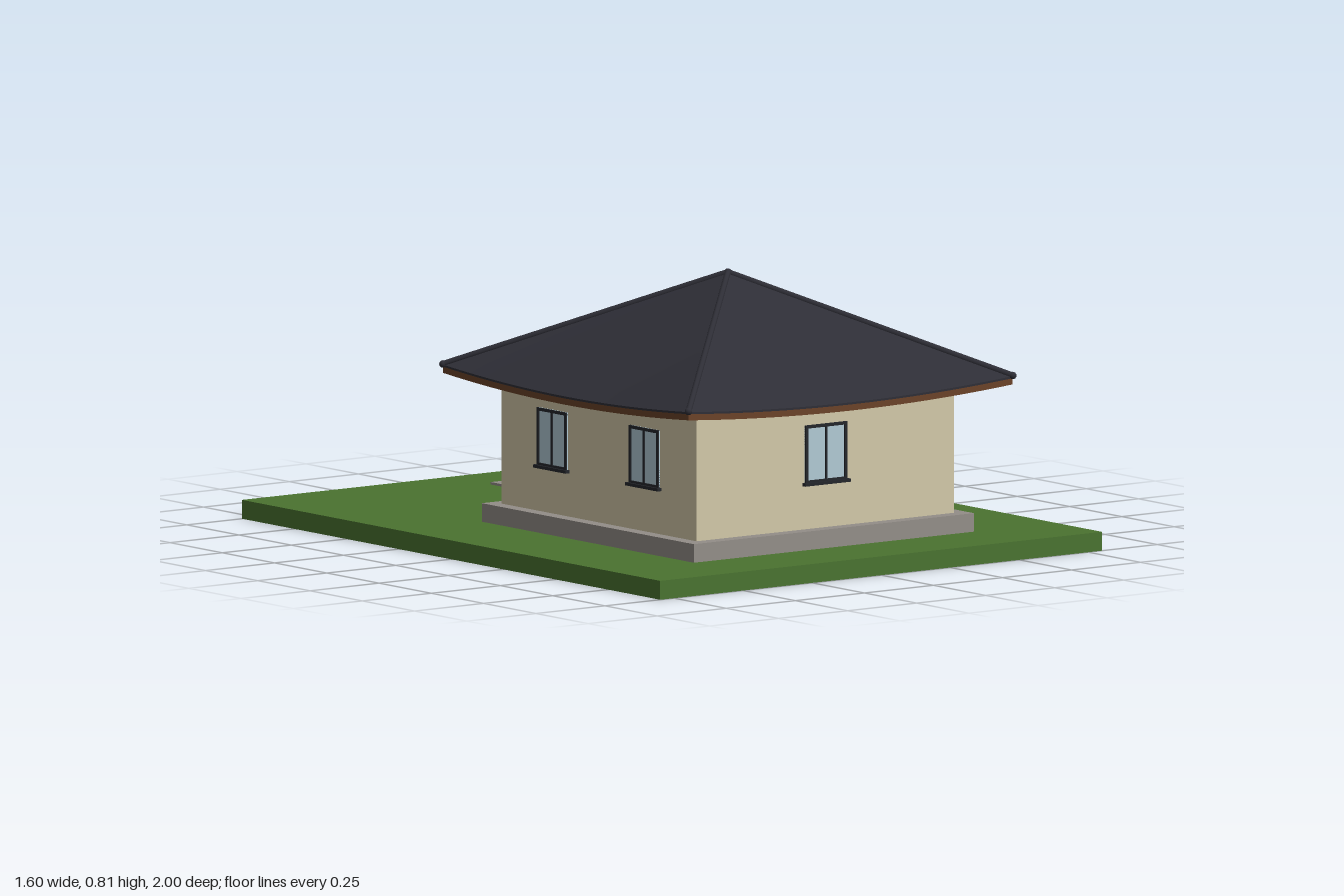
import * as THREE from 'three';

const mat = (name, color) => Object.assign(new THREE.MeshStandardMaterial({ color }), { name });

export function createModel() {
  const grass = mat('grass', 0x4a7330), stone = mat('stone', 0x938e88), plaster = mat('plaster', 0xd2c8a8);
  const tile = mat('roofTile', 0x2e2e36), wood = mat('wood', 0x6a4228), frame = mat('frame', 0x24262b);
  const glass = mat('glass', 0xb0c9d4);

  const model = new THREE.Group();
  model.name = 'house';
  const add = (parent, name, geometry, material, x = 0, y = 0, z = 0) => {
    const m = new THREE.Mesh(geometry, material);
    m.name = name;
    m.position.set(x, y, z);
    parent.add(m);
    return m;
  };
  const box = (parent, name, material, w, h, d, x, y, z) =>
    add(parent, name, new THREE.BoxGeometry(w, h, d), material, x, y, z);

  // Lawn and stepping stones
  box(model, 'lawn', grass, 1.6, 0.055, 2, 0, 0.0275, 0);
  for (let i = 0; i < 5; i++) box(model, 'steppingStone', stone, 0.088, 0.01, 0.078, 0, 0.057, -0.29 - i * 0.12);

  // The house is square, around its own centre
  const house = new THREE.Group();
  house.name = 'building';
  house.position.z = 0.267;
  model.add(house);
  const W = 0.466;
  box(house, 'plinth', stone, 1.014, 0.055, 1.014, 0, 0.0815, 0);
  box(house, 'walls', plaster, W * 2, 0.38, W * 2, 0, 0.297, 0);

  // Four walls, each a group whose +z faces outward
  const wall = (name, turn) => {
    const g = new THREE.Group();
    g.name = name;
    g.rotation.y = turn * Math.PI / 2;
    house.add(g);
    return g;
  };
  const windowAt = (parent, x, w, panes) => {
    const g = new THREE.Group();
    g.name = 'window';
    g.position.set(x, 0.327, W);
    parent.add(g);
    const h = 0.17, t = 0.009;
    box(g, 'windowGlass', glass, w, h, 0.004, 0, 0, 0.001);
    for (const s of [-1, 1]) box(g, 'windowRail', frame, w, t, 0.01, 0, s * (h - t) / 2, 0.002);
    for (let i = 0; i <= panes; i++)
      box(g, 'windowBar', frame, i % panes ? 0.006 : t, h, 0.009, (i / panes - 0.5) * (w - t), 0, 0.002);
    box(g, 'windowSill', frame, w + 0.016, 0.009, 0.02, 0, -h / 2 - 0.002, 0.004);
  };
  windowAt(wall('frontWall', 0), 0, 0.15, 2);
  for (const [name, turn] of [['leftWall', 1], ['rightWall', 3]]) {
    const side = wall(name, turn);
    for (const x of [-0.22, 0.22]) windowAt(side, x, 0.14, 2);
  }
  const back = wall('backWall', 2);
  for (const x of [-0.215, 0.215]) windowAt(back, x, 0.195, 3);

  // Door with frame and step
  box(back, 'door', wood, 0.125, 0.3, 0.008, 0, 0.259, W + 0.001);
  for (const s of [-1, 1]) box(back, 'doorPost', frame, 0.008, 0.306, 0.014, s * 0.066, 0.262, W + 0.001);
  box(back, 'doorLintel', frame, 0.14, 0.008, 0.014, 0, 0.413, W + 0.001);
  box(back, 'doorHandle', frame, 0.007, 0.025, 0.008, 0.045, 0.25, W + 0.007);
  box(back, 'doorStep', stone, 0.16, 0.058, 0.05, 0, 0.084, 0.488);

  // Surface over u in -1..1 and v in 0..1
  const patch = (fn, nu, nv) => {
    const pos = [], index = [];
    for (let j = 0; j <= nv; j++)
      for (let i = 0; i <= nu; i++) pos.push(...fn(-1 + 2 * i / nu, j / nv));
    for (let j = 0; j < nv; j++)
      for (let i = 0; i < nu; i++) {
        const a = j * (nu + 1) + i, b = a + nu + 1;
        index.push(a, b, b + 1, a, b + 1, a + 1);
      }
    const g = new THREE.BufferGeometry();
    g.setAttribute('position', new THREE.Float32BufferAttribute(pos, 3));
    g.setIndex(index);
    g.computeVertexNormals();
    return g;
  };

  // Hipped roof with sagging eaves
  const E = 0.587, apex = 0.798, corner = 0.511, sag = 0.024;
  const roofY = (u, v) => apex - (apex - corner) * v - sag * (1 - u * u) * v * v;
  const lip = 0.006, board = 0.018;
  const roofTop = patch((u, v) => [u * v * E, roofY(u, v), v * E], 20, 12);
  const roofLip = patch((u, v) => [u * E, roofY(u, 1) - lip * v, E], 20, 1);
  const fascia = patch((u, v) => [u * E, roofY(u, 1) - lip - board * v, E], 20, 1);
  const soffit = patch((u, v) => {
    const r = E - v * (E - 0.44);
    return [u * r, THREE.MathUtils.lerp(roofY(u, 1) - lip - board, 0.474, v), r];
  }, 20, 4);
  for (let k = 0; k < 4; k++) {
    const side = wall('roofSide', k);
    add(side, 'roofSlope', roofTop, tile);
    add(side, 'roofEdge', roofLip, tile);
    add(side, 'fasciaBoard', fascia, wood);
    add(side, 'soffit', soffit, wood);
    // Hip ridge with a rounded end
    const end = new THREE.Vector3(E, corner + 0.002, E);
    const path = new THREE.LineCurve3(new THREE.Vector3(0, apex, 0), end);
    add(side, 'hipRidge', new THREE.TubeGeometry(path, 1, 0.009, 8), tile);
    add(side, 'hipEnd', new THREE.SphereGeometry(0.011, 10, 8), tile, end.x, end.y, end.z);
  }
  add(house, 'roofPeak', new THREE.SphereGeometry(0.011, 12, 8), tile, 0, apex, 0);

  return model;
}
